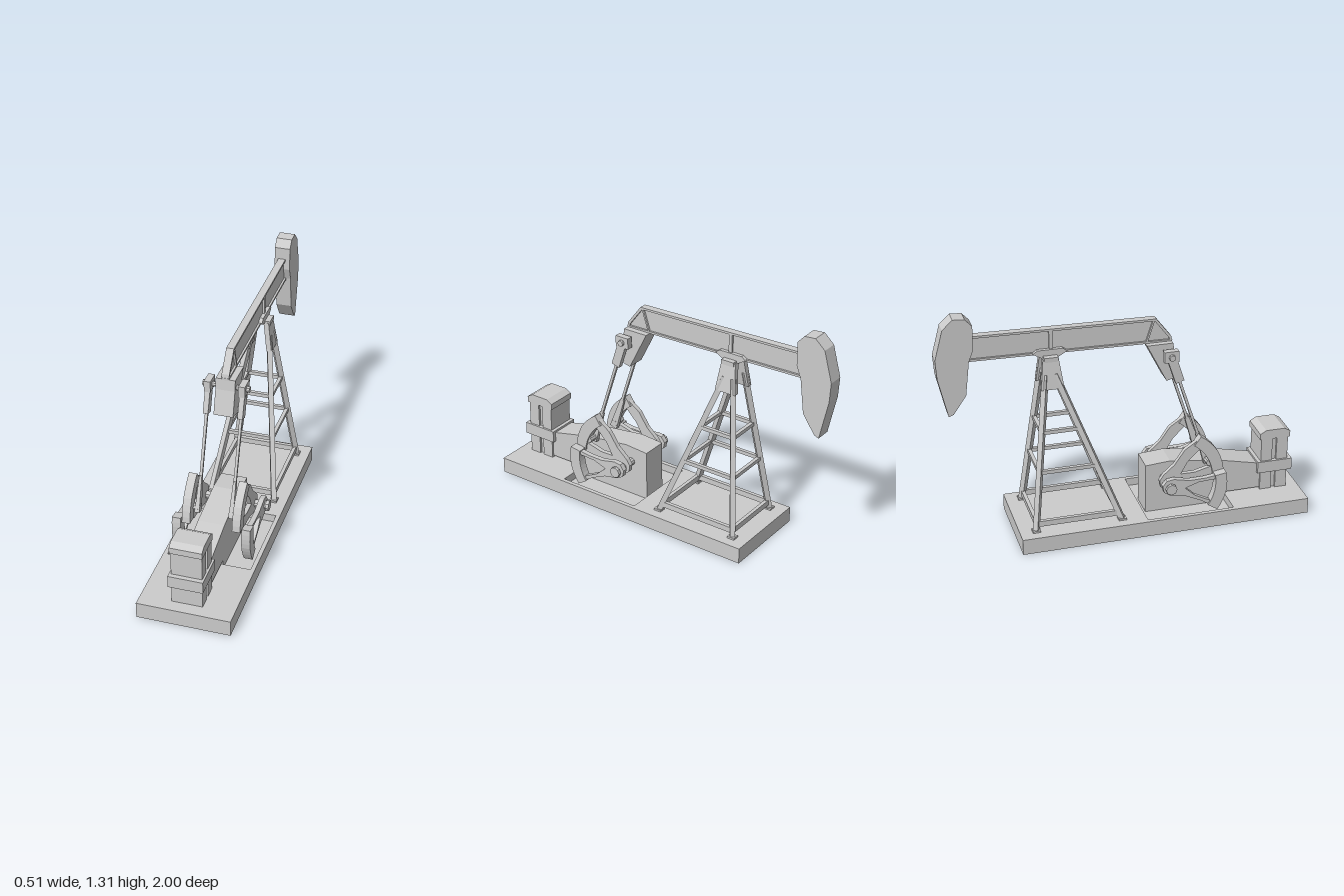
import * as THREE from 'three';

const material = new THREE.MeshStandardMaterial({ color: 0xcccccc, flatShading: true });
const V = (x, y, z) => new THREE.Vector3(x, y, z);

export function createModel() {
  const root = new THREE.Group();

  const add = (name, geometry, parent = root) => {
    const mesh = new THREE.Mesh(geometry, material);
    mesh.name = name;
    parent.add(mesh);
    return mesh;
  };
  // Box given by its limits on each axis
  const box = (name, x0, x1, y0, y1, z0, z1, parent) =>
    add(name, new THREE.BoxGeometry(x1 - x0, y1 - y0, z1 - z0)
      .translate((x0 + x1) / 2, (y0 + y1) / 2, (z0 + z1) / 2), parent);
  // Side profile of [z, y] points, extruded across x
  const toShape = (pts) => new THREE.Shape(pts.map(([z, y]) => new THREE.Vector2(z, y)));
  const profile = (name, pts, x0, x1, parent, hole) => {
    const shape = toShape(pts);
    if (hole) shape.holes.push(toShape(hole));
    const geometry = new THREE.ExtrudeGeometry(shape, { depth: x1 - x0, bevelEnabled: false });
    return add(name, geometry.rotateY(-Math.PI / 2).translate(x1, 0, 0), parent);
  };
  // Straight square bar between two points, optionally tapered towards b
  const bar = (name, a, b, w, h = w, parent = root, taper = 1) => {
    const geometry = new THREE.CylinderGeometry(Math.SQRT1_2 * taper, Math.SQRT1_2, a.distanceTo(b), 4)
      .rotateY(Math.PI / 4).rotateX(Math.PI / 2).scale(w, h, 1);
    const mesh = add(name, geometry, parent);
    mesh.position.copy(a).add(b).multiplyScalar(0.5);
    mesh.lookAt(b);
    return mesh;
  };
  // Round pin running across x
  const pin = (name, x0, x1, y, z, r, sides, parent) =>
    add(name, new THREE.CylinderGeometry(r, r, x1 - x0, sides)
      .rotateZ(Math.PI / 2).translate((x0 + x1) / 2, y, z), parent);

  // Base slab with a shallow pocket below the cranks
  const slab = toShape([[-0.253, -1], [0.253, -1], [0.253, 0.62], [-0.253, 0.62]]);
  slab.holes.push(toShape([[-0.23, -0.57], [0.23, -0.57], [0.23, -0.08], [-0.23, -0.08]]));
  add('baseTop', new THREE.ExtrudeGeometry(slab, { depth: 0.045, bevelEnabled: false })
    .rotateX(-Math.PI / 2).translate(0, 0.045, 0));
  box('baseBottom', -0.253, 0.253, 0, 0.045, -0.62, 1);

  // Motor housing with side grooves, belt band and chamfered cap
  box('motorCore', -0.07, 0.07, 0.09, 0.41, 0.78, 0.925);
  box('motorBlock', -0.083, 0.083, 0.09, 0.41, 0.775, 0.84);
  box('motorBlock', -0.083, 0.083, 0.09, 0.41, 0.865, 0.93);
  box('motorBand', -0.094, 0.094, 0.2, 0.268, 0.755, 0.955);
  profile('motorCap', [[0.765, 0.405], [0.94, 0.405], [0.94, 0.44], [0.905, 0.46],
    [0.8, 0.46], [0.765, 0.44]], -0.087, 0.087);

  // Gearbox
  profile('gearbox', [[0.11, 0.045], [0.55, 0.045], [0.55, 0.1], [0.78, 0.1], [0.78, 0.25],
    [0.52, 0.31], [0.25, 0.345], [0.11, 0.335]], -0.073, 0.073);

  // Cranks: paired open arms with curved counterweights on a common shaft
  const PZ = 0.213, PY = 0.257;
  const polar = (deg, r) => {
    const a = THREE.MathUtils.degToRad(deg);
    return [PZ + r * Math.cos(a), PY + r * Math.sin(a)];
  };
  const crank = (name, mid, half, edge, x0, x1, parent) => {
    const steps = [...Array(9).keys()].map((i) => mid - half + (i * half) / 4);
    const weight = [...steps.map((d, i) => polar(d, 0.323 - 0.0012 * Math.abs(i - 4))),
      ...steps.slice().reverse().map((d) => polar(d, 0.255))];
    profile(name + 'Counterweight', weight, x0, x1, parent);
    const upper = edge.map(([d, r]) => polar(mid + d, r));
    const lower = edge.map(([d, r]) => polar(mid - d, r)).reverse();
    const hole = [polar(mid, 0.085), polar(mid + 15, 0.16), polar(mid + 15, 0.265),
      polar(mid, 0.27), polar(mid - 15, 0.265), polar(mid - 15, 0.16)];
    profile(name + 'Arm', [...lower, ...upper, polar(mid + 180, 0.045)],
      x0 + 0.01, x1 - 0.01, parent, hole);
  };
  pin('crankShaft', -0.22, 0.22, PY - 0.004, PZ, 0.022, 10);
  for (const s of [1, -1]) {
    const side = new THREE.Group();
    side.name = s > 0 ? 'leftCrank' : 'rightCrank';
    root.add(side);
    const span = (a, b) => (s > 0 ? [a, b] : [-b, -a]);
    crank('upper', 30, 25, [[24, 0.3], [33, 0.21], [40, 0.11], [85, 0.055], [130, 0.048]],
      ...span(0.115, 0.16), side);
    crank('lower', -12, 21, [[20, 0.29], [20, 0.2], [26, 0.11], [80, 0.05], [130, 0.046]],
      ...span(0.167, 0.215), side);
    pin('shaftNut', ...span(0.212, 0.23), PY - 0.004, PZ, 0.031, 8, side);
    pin('crankPin', ...span(0.08, 0.15), 0.345, 0.452, 0.02, 8, side);

    // Pitman rod with heavy ends
    const top = V(s * 0.093, 1.0, 0.235), bottom = V(s * 0.093, 0.32, 0.457);
    const along = (t) => bottom.clone().lerp(top, t);
    bar('pitmanRod', along(0.1), along(0.9), 0.015, 0.015, side);
    bar('pitmanFoot', along(0), along(0.28), 0.026, 0.045, side, 0.55);
    bar('pitmanHead', along(0.76), along(1.01), 0.028, 0.05, side);
    const block = box('pitmanBearing', ...span(0.075, 0.11), 0.957, 1.02, 0.2, 0.28, side);
    block.name = 'pitmanBearing';
    pin('equalizerPinEnd', ...span(0.108, 0.126), 0.988, 0.24, 0.017, 8, side);
  }

  // Equalizer block hanging from the beam tail
  pin('equalizerPin', -0.115, 0.115, 0.988, 0.24, 0.014, 8);
  profile('equalizerBlock', [[0.12, 1.042], [0.265, 1.042], [0.272, 0.98], [0.308, 0.845],
    [0.23, 0.825]], -0.05, 0.055);

  // Walking beam: thin web, flanges and stiffeners
  profile('beamWeb', [[-0.82, 1.062], [0.265, 1.04], [0.26, 1.065], [0.18, 1.176],
    [-0.82, 1.196]], -0.008, 0.011);
  const flange = (name, pts) => profile(name, pts, -0.019, 0.022);
  flange('topFlange', [[-0.82, 1.186], [0.174, 1.166], [0.18, 1.178], [-0.82, 1.198]]);
  flange('bottomFlange', [[-0.82, 1.058], [0.268, 1.038], [0.268, 1.05], [-0.82, 1.07]]);
  flange('tailFlange', [[0.268, 1.04], [0.262, 1.07], [0.18, 1.178], [0.17, 1.167],
    [0.25, 1.062], [0.255, 1.04]]);
  flange('tailStiffener', [[0.122, 1.046], [0.132, 1.046], [0.172, 1.17], [0.162, 1.17]]);
  flange('middleStiffener', [[-0.4, 1.06], [-0.38, 1.06], [-0.38, 1.185], [-0.4, 1.185]]);

  // Horse head
  profile('horseHead', [[-0.8, 1.264], [-0.837, 1.305], [-0.9, 1.31], [-0.955, 1.259],
    [-1, 1.093], [-0.993, 0.985], [-0.944, 0.766], [-0.918, 0.777], [-0.848, 0.878],
    [-0.826, 1.066], [-0.8, 1.135]], -0.04, 0.047);

  // Saddle bearing on top of the tower
  profile('saddleBearing', [[-0.305, 1.06], [-0.33, 1.078], [-0.465, 1.078], [-0.49, 1.06],
    [-0.455, 1.04], [-0.43, 1.025], [-0.365, 1.025], [-0.34, 1.04]], -0.028, 0.031);
  box('towerCap', -0.06, 0.06, 1.02, 1.045, -0.435, -0.36);

  // Tower: four leaning legs, rungs and gussets
  const tower = new THREE.Group();
  tower.name = 'tower';
  root.add(tower);
  const legX = (y) => 0.18 - 0.15 * (y - 0.09);
  const front = (y) => -0.053 - 0.38 * (y - 0.09);
  const rear = (y) => -0.53 + 0.115 * (y - 0.09);
  for (const s of [1, -1]) {
    for (const z of [front, rear]) {
      bar('towerLeg', V(s * legX(0.085), 0.085, z(0.085)), V(s * legX(0.95), 0.95, z(0.95)),
        0.028, 0.03, tower);
      const fx = s * legX(0.09), fz = z(0.09);
      box('towerFoot', fx - 0.02, fx + 0.02, 0.09, 0.1, fz - 0.022, fz + 0.022, tower);
    }
    const gusset = profile('towerGusset', [[-0.335, 0.87], [-0.358, 1.035], [-0.442, 1.035],
      [-0.46, 0.87]], -0.014, 0.014, tower);
    // Lean the plate with the legs
    const p = gusset.geometry.attributes.position;
    for (let i = 0; i < p.count; i++) p.setX(i, p.getX(i) + s * legX(p.getY(i)));
    gusset.geometry.computeVertexNormals();
  }
  for (const [y, t] of [[0.132, 0.032], [0.418, 0.021], [0.637, 0.021]]) {
    const x = legX(y);
    for (const s of [1, -1])
      bar('sideRung', V(s * x, y, front(y)), V(s * x, y, rear(y)), 0.02, t, tower);
    for (const z of [front, rear])
      bar('crossRung', V(-x, y, z(y)), V(x, y, z(y)), 0.02, t, tower);
  }
  return root;
}
